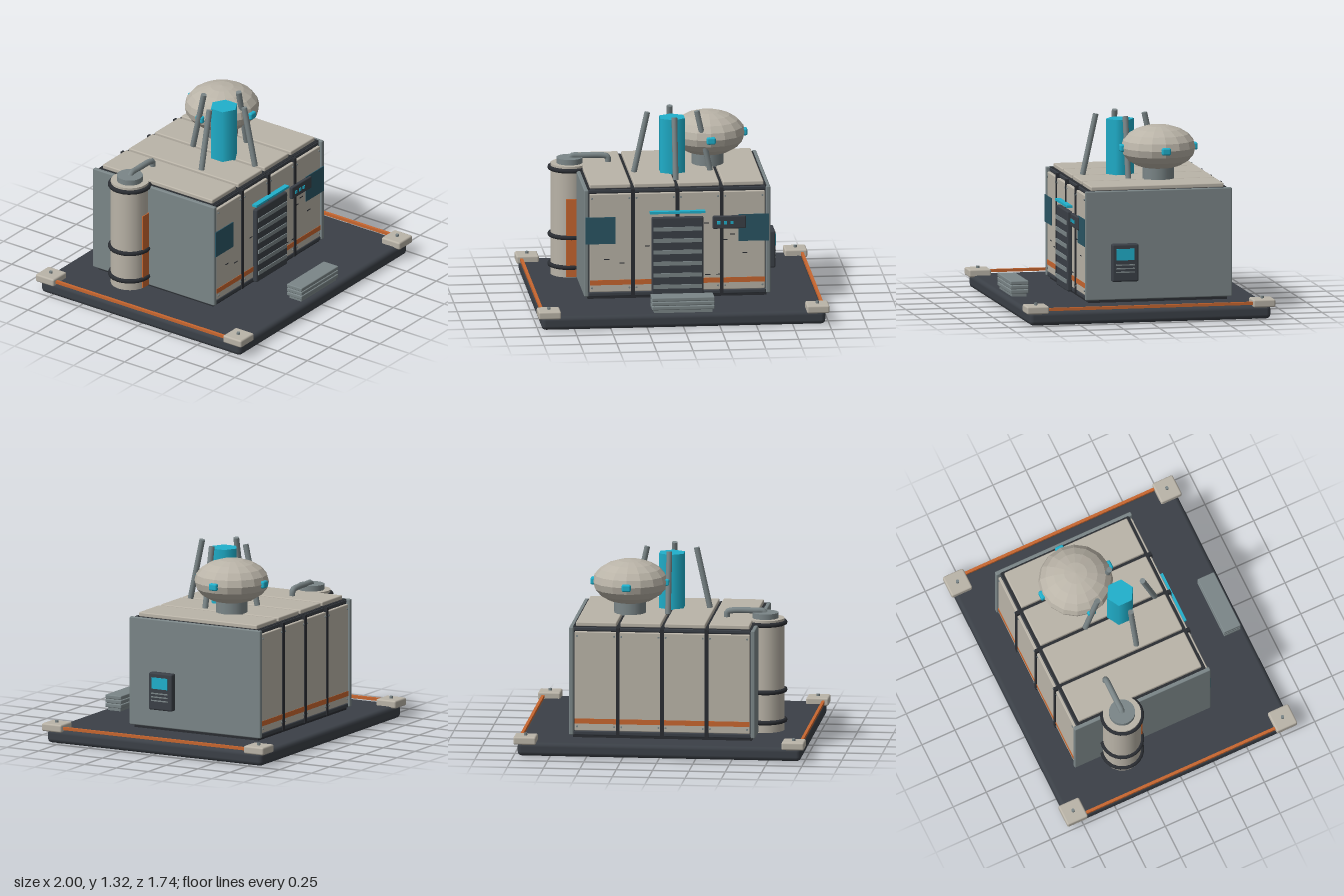
import * as THREE from 'three';
import { RoundedBoxGeometry } from 'three/addons/geometries/RoundedBoxGeometry.js';

const paint = (name, color, flatShading = false) => {
  const m = new THREE.MeshStandardMaterial({ color, flatShading });
  m.name = name;
  return m;
};

export function createModel() {
  const root = new THREE.Group();
  root.name = 'outpostShelter';

  const cream = paint('creamPanel', 0xbab4a8);
  const creamFlat = cream.clone();
  creamFlat.flatShading = true;
  const steel = paint('steelGrey', 0x7b8688);
  const dark = paint('darkSlate', 0x3b4047);
  const black = paint('sealBlack', 0x2a2d32);
  const cyan = paint('cyanGlow', 0x20b0cc);
  const orange = paint('orangeTrim', 0xc8662f);
  const teal = paint('tealGlass', 0x2a5665);

  const add = (name, geo, mat, x, y, z, parent = root) => {
    const m = new THREE.Mesh(geo, mat);
    m.name = name;
    m.position.set(x, y, z);
    parent.add(m);
    return m;
  };
  // Box given by its limits on each axis; r rounds the edges
  const block = (name, mat, [x0, x1], [y0, y1], [z0, z1], r = 0, parent = root) => {
    const s = [x1 - x0, y1 - y0, z1 - z0];
    const geo = r ? new RoundedBoxGeometry(...s, 2, r) : new THREE.BoxGeometry(...s);
    return add(name, geo, mat, (x0 + x1) / 2, (y0 + y1) / 2, (z0 + z1) / 2, parent);
  };
  // Round bar between two points
  const bar = (name, mat, a, b, r, sides = 10) => {
    const p = new THREE.Vector3(...a), q = new THREE.Vector3(...b);
    const d = q.clone().sub(p);
    const mid = p.add(q).multiplyScalar(0.5);
    const m = add(name, new THREE.CylinderGeometry(r, r, d.length(), sides), mat, mid.x, mid.y, mid.z);
    m.quaternion.setFromUnitVectors(new THREE.Vector3(0, 1, 0), d.normalize());
    return m;
  };

  // Base slab, corner pads and side rails
  block('baseSlab', dark, [-0.975, 0.975], [0.005, 0.1], [-0.845, 0.845], 0.03);
  for (const sx of [-1, 1]) {
    for (const sz of [-1, 1]) {
      add('cornerPad', new RoundedBoxGeometry(0.155, 0.055, 0.155, 2, 0.012), cream, sx * 0.9225, 0.115, sz * 0.793);
      add('padBolt', new THREE.CylinderGeometry(0.012, 0.012, 0.016, 8), steel, sx * 0.9225, 0.15, sz * 0.793);
    }
    block('sideRail', orange, [sx * 0.964 - 0.01, sx * 0.964 + 0.01], [0.105, 0.125], [-0.72, 0.72]);
  }

  // Shelter core and end walls
  block('shelterCore', black, [-0.615, 0.615], [0.1, 0.872], [-0.615, 0.355]);
  for (const s of [-1, 1])
    block('endWall', steel, [s * 0.625 - 0.015, s * 0.625 + 0.015], [0.12, 0.872], [-0.645, 0.383], 0.008);

  // Front and back wall panels, with beams, stripe, seams and rivets
  for (const s of [-1, 1]) {
    const z = (d) => -0.13 + s * d;
    const span = (a, b) => [Math.min(z(a), z(b)), Math.max(z(a), z(b))];
    for (let i = 0; i < 4; i++) {
      const x = -0.4575 + i * 0.305;
      block('wallPanel', cream, [x - 0.145, x + 0.145], [0.15, 0.84], span(0.47, 0.506), 0.006);
      block('wallStripe', orange, [x - 0.144, x + 0.144], [0.2, 0.235], span(0.505, 0.509));
      for (const dx of [-0.128, 0.128]) for (const y of [0.18, 0.81]) {
        const rivet = add('rivet', new THREE.CylinderGeometry(0.007, 0.007, 0.008, 6), steel, x + dx, y, z(0.508));
        rivet.rotation.x = Math.PI / 2;
      }
    }
    for (const x of [-0.305, 0, 0.305])
      block('wallSeam', black, [x - 0.013, x + 0.013], [0.12, 0.87], span(0.46, 0.513));
    block('topBeam', dark, [-0.61, 0.61], [0.842, 0.87], span(0.45, 0.49), 0.008);
    block('bottomBeam', dark, [-0.61, 0.61], [0.118, 0.148], span(0.45, 0.505), 0.008);
  }

  // Roof panels
  for (let i = 0; i < 4; i++) {
    const x = -0.4575 + i * 0.305;
    block('roofPanel', cream, [x - 0.14, x + 0.14], [0.868, 0.9], [-0.595, 0.335], 0.008);
  }

  // Shutter door, light strip and step stack
  block('door', dark, [-0.178, 0.178], [0.12, 0.673], [0.37, 0.408], 0.01);
  for (let i = 0; i < 6; i++) {
    const y = 0.592 - i * 0.081;
    block('doorSlat', steel, [-0.165, 0.165], [y - 0.014, y + 0.014], [0.404, 0.414]);
  }
  block('doorLight', cyan, [-0.19, 0.19], [0.7, 0.716], [0.37, 0.414]);
  for (let i = 0; i < 3; i++)
    block('step', steel, [-0.215, 0.215], [0.122 + i * 0.03, 0.149 + i * 0.03], [0.687, 0.813], 0.006);
  block('stepCore', steel, [-0.2, 0.2], [0.1, 0.2], [0.7, 0.8]);

  // Corner windows
  block('window', teal, [-0.63, -0.425], [0.492, 0.68], [0.383, 0.389]);
  block('window', teal, [0.42, 0.63], [0.492, 0.68], [0.383, 0.389]);

  // Front status panel
  block('statusPanel', dark, [0.242, 0.47], [0.583, 0.673], [0.375, 0.402], 0.008);
  for (const x of [0.283, 0.328, 0.374])
    block('statusLight', cyan, [x - 0.011, x + 0.011], [0.616, 0.638], [0.4, 0.407]);

  // Scuff marks
  for (const [x, y] of [[-0.485, 0.38], [-0.38, 0.352], [-0.205, 0.47], [0.2, 0.622],
    [0.33, 0.503], [0.465, 0.408], [0.21, 0.258], [0.285, 0.258], [0.38, 0.54]])
    block('scuff', black, [x - 0.018, x + 0.018], [y - 0.003, y + 0.003], [0.374, 0.379]);

  // Side terminal
  block('terminal', dark, [0.635, 0.692], [0.25, 0.51], [0.02, 0.205], 0.012);
  block('terminalScreen', cyan, [0.69, 0.699], [0.4, 0.478], [0.052, 0.177]);
  for (const y of [0.317, 0.342, 0.367])
    block('terminalSlot', steel, [0.69, 0.697], [y - 0.004, y + 0.004], [0.05, 0.18]);

  // Storage tank with bands, cap and pipe
  const tx = -0.675, tz = -0.305;
  add('tankBody', new THREE.CylinderGeometry(0.132, 0.132, 0.78, 20), cream, tx, 0.51, tz);
  add('tankCap', new THREE.CylinderGeometry(0.09, 0.09, 0.04, 20), steel, tx, 0.918, tz);
  for (const y of [0.19, 0.4, 0.87]) {
    const ring = add('tankBand', new THREE.TorusGeometry(0.136, 0.016, 8, 24), black, tx, y, tz);
    ring.rotation.x = Math.PI / 2;
  }
  block('tankStripe', orange, [-0.71, -0.638], [0.125, 0.673], [-0.182, -0.168]);
  const path = new THREE.CatmullRomCurve3([[-0.675, 0.93], [-0.66, 0.947], [-0.6, 0.948], [-0.45, 0.946],
    [-0.415, 0.935], [-0.41, 0.89]].map(([x, y]) => new THREE.Vector3(x, y, tz)));
  add('tankPipe', new THREE.TubeGeometry(path, 24, 0.021, 8), steel, 0, 0, 0);

  // Faceted dome on its neck, with four beacons
  const dx = 0.265, dz = -0.21, dy = 1.115;
  add('domeNeck', new THREE.CylinderGeometry(0.11, 0.11, 0.13, 16), steel, dx, 0.96, dz);
  const dome = add('dome', new THREE.SphereGeometry(0.257, 16, 10), creamFlat, dx, dy, dz);
  dome.scale.y = 0.6;
  for (let i = 0; i < 4; i++) {
    const a = (i * Math.PI) / 2;
    const b = add('beacon', new RoundedBoxGeometry(0.062, 0.05, 0.036, 2, 0.012), cyan,
      dx + Math.sin(a) * 0.254, dy, dz + Math.cos(a) * 0.254);
    b.rotation.y = a;
  }

  // Hexagonal crystal held by four leaning struts
  add('crystal', new THREE.CylinderGeometry(0.097, 0.097, 0.385, 6), cyan, 0, 1.088, 0);
  for (const [x, z] of [[1, 0], [-1, 0], [0, 1], [0, -1]])
    bar('strut', steel, [x * 0.262, 0.9, z * 0.262], [x * 0.17, 1.318, z * 0.17], 0.02);

  return root;
}
